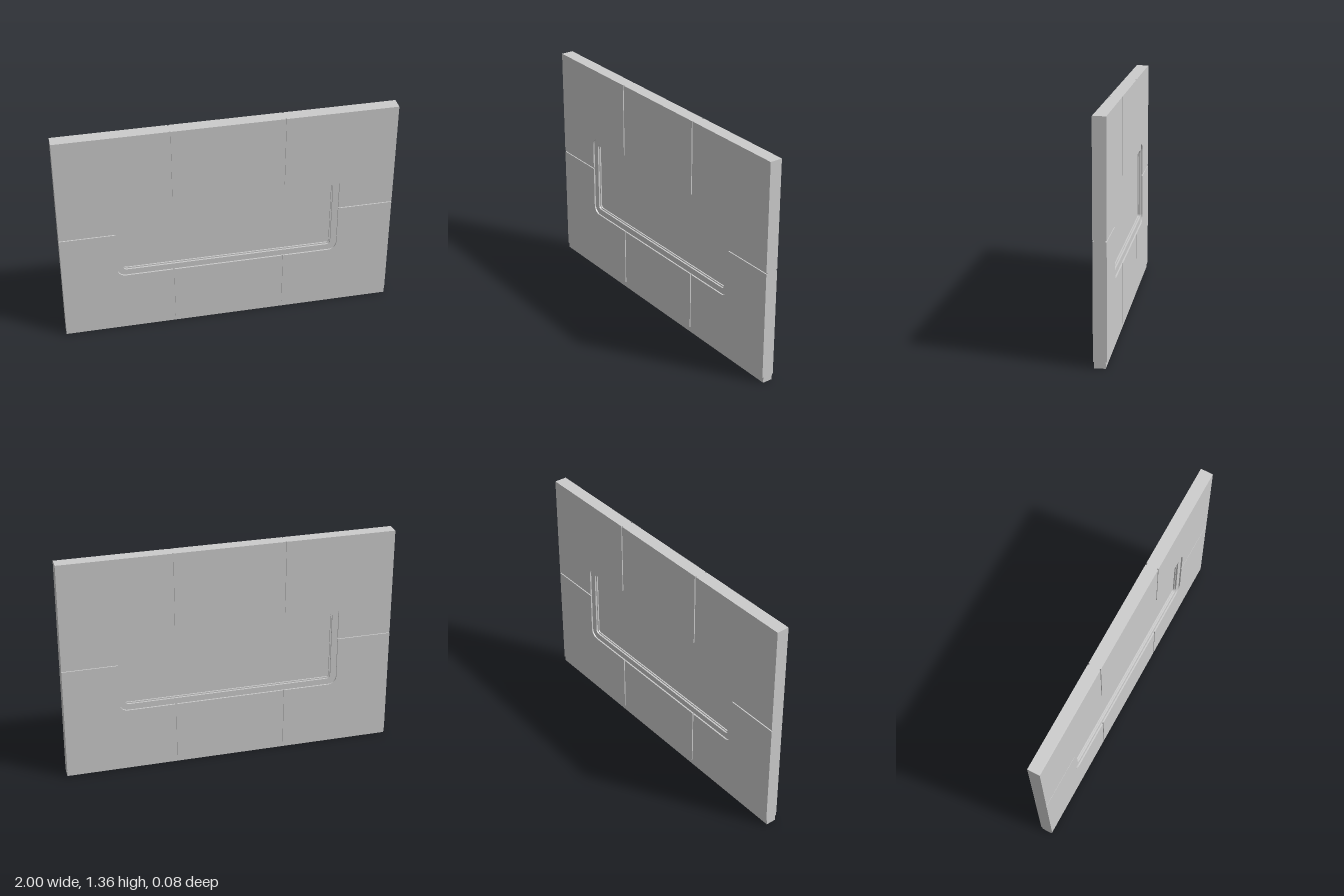
import * as THREE from 'three';

const H = 1.36, BASE = 0.035, CORE = 0.031, SKIN = 0.038;
const WIN = { w: 0.67, bottom: 0.395, top: 0.91, r: 0.05 };
const SEAM_X = 0.333, SEAM_Y = 0.7, GAP = 0.004;
const midY = (WIN.bottom + WIN.top) / 2;
const grey = new THREE.MeshStandardMaterial({ color: 0xcccccc });

// Rounded rectangle centred on the window, inset from its outer edge
function windowOutline(inset, r, Type = THREE.Shape) {
  const w = WIN.w - inset, h = (WIN.top - WIN.bottom) / 2 - inset;
  const p = new Type();
  p.absarc(w - r, midY + h - r, r, 0, Math.PI / 2);
  p.absarc(-w + r, midY + h - r, r, Math.PI / 2, Math.PI);
  p.absarc(-w + r, midY - h + r, r, Math.PI, Math.PI * 1.5);
  p.absarc(w - r, midY - h + r, r, Math.PI * 1.5, Math.PI * 2);
  p.closePath();
  return p;
}

function slab(name, shape, z0, z1) {
  const geometry = new THREE.ExtrudeGeometry(shape, { depth: z1 - z0, bevelEnabled: false, curveSegments: 8 });
  geometry.translate(0, 0, z0);
  const mesh = new THREE.Mesh(geometry, grey);
  mesh.name = name;
  return mesh;
}

function polygon(points) {
  return new THREE.Shape(points.map(([x, y]) => new THREE.Vector2(x, y)));
}

// Ring between two insets of the window outline, the same on both faces
function ring(name, outer, rOuter, inner, rInner, halfDepth) {
  const shape = windowOutline(outer, rOuter);
  shape.holes.push(windowOutline(inner, rInner, THREE.Path));
  return slab(name, shape, -halfDepth, halfDepth);
}

// Outer tile that wraps around one rounded corner of the window
function cornerTile(side, up) {
  const edge = up ? H : BASE, v = up ? 1 : -1;
  const winEdge = up ? WIN.top : WIN.bottom;
  const seam = SEAM_Y + v * GAP, x0 = SEAM_X + GAP;
  const points = [[x0, edge], [1, edge], [1, seam], [WIN.w, seam]];
  for (let i = 0; i <= 8; i++) {
    const a = (i / 8) * Math.PI / 2;
    points.push([WIN.w - WIN.r + WIN.r * Math.cos(a), winEdge - v * WIN.r + v * WIN.r * Math.sin(a)]);
  }
  points.push([x0, winEdge]);
  return polygon(points.map(([x, y]) => [side * x, y]));
}

// Plain tile above or below the window
function middleTile(up) {
  const x = SEAM_X - GAP;
  const [a, b] = up ? [WIN.top, H] : [BASE, WIN.bottom];
  return polygon([[-x, a], [x, a], [x, b], [-x, b]]);
}

export function createModel() {
  const model = new THREE.Group();
  model.name = 'windowWall';

  // Wall core, exposed as the plinth and at the bottom of the seams
  const core = polygon([[-1, 0], [1, 0], [1, H], [-1, H]]);
  core.holes.push(windowOutline(0, WIN.r, THREE.Path));
  model.add(slab('wallCore', core, -CORE, CORE));

  // Cladding tiles on both faces
  for (const [face, z0, z1] of [['front', CORE, SKIN], ['back', -SKIN, -CORE]]) {
    const cladding = new THREE.Group();
    cladding.name = face + 'Cladding';
    for (const up of [true, false]) {
      const row = up ? 'upper' : 'lower';
      cladding.add(slab(row + 'MiddleTile', middleTile(up), z0, z1));
      cladding.add(slab(row + 'LeftTile', cornerTile(1, up), z0, z1));
      cladding.add(slab(row + 'RightTile', cornerTile(-1, up), z0, z1));
    }
    model.add(cladding);
  }

  // Recessed window: frame, stepped gasket and pane
  const win = new THREE.Group();
  win.name = 'window';
  win.add(ring('windowFrame', 0, WIN.r, 0.037, 0.022, 0.029));
  win.add(ring('windowGasket', 0.037, 0.022, 0.044, 0.016, 0.019));
  win.add(slab('windowPane', windowOutline(0.044, 0.016), -0.011, 0.011));
  model.add(win);

  return model;
}
